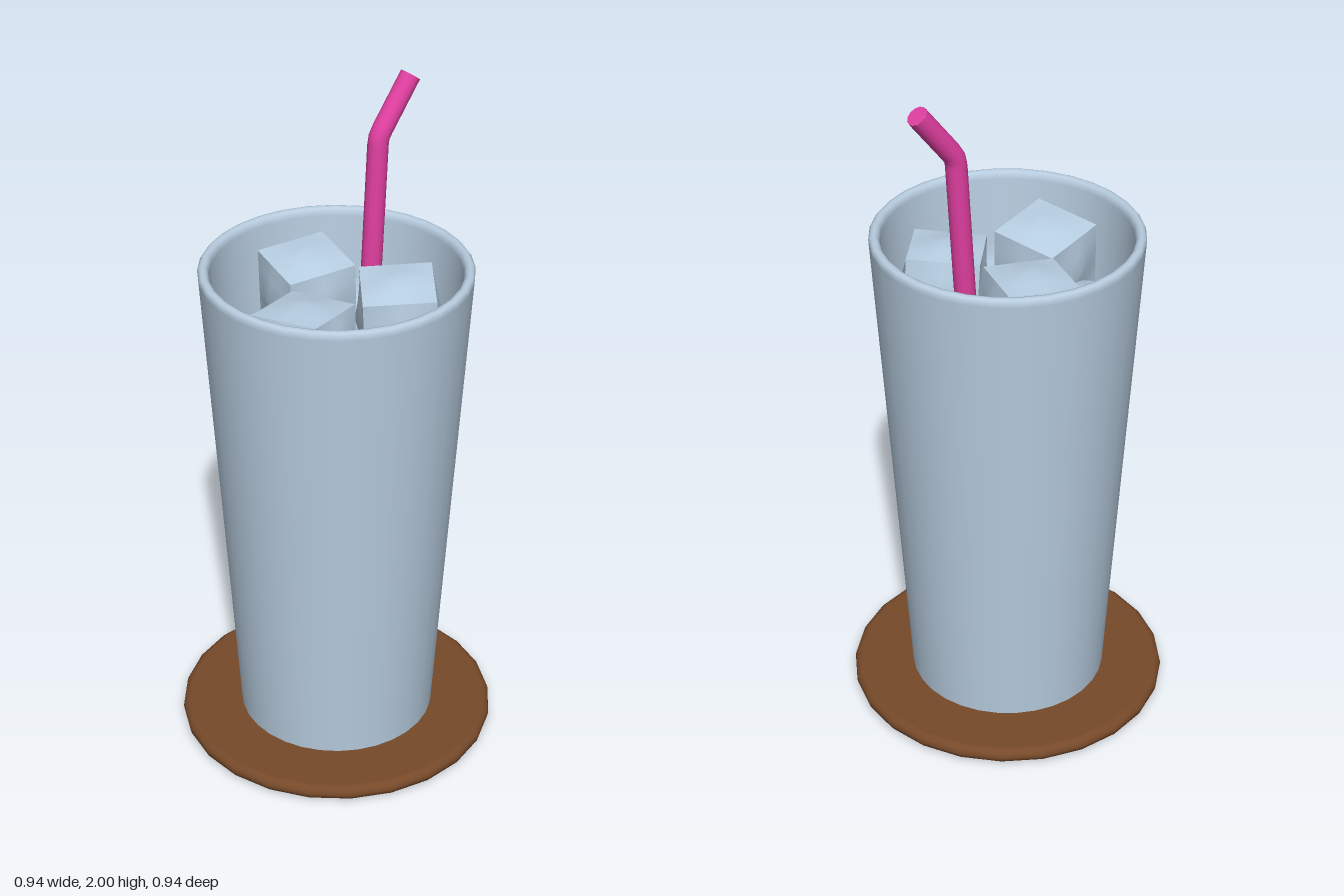
import * as THREE from 'three';

const mat = (name, color) => {
  const m = new THREE.MeshStandardMaterial({ color });
  m.name = name;
  return m;
};
const points = (list) => list.map(([x, y]) => new THREE.Vector2(x, y));

// Box whose faces swell towards the middle; each face keeps its own normals
function iceGeometry(size, bulge) {
  const geo = new THREE.BoxGeometry(size, size, size, 4, 4, 4);
  const pos = geo.attributes.position;
  const v = new THREE.Vector3();
  const h = size / 2;
  const fall = (a, b) => (1 - Math.abs(a / h)) * (1 - Math.abs(b / h));
  for (let i = 0; i < pos.count; i++) {
    v.fromBufferAttribute(pos, i);
    const { x, y, z } = v;
    if (Math.abs(x) > h - 1e-5) v.x += Math.sign(x) * bulge * fall(y, z);
    if (Math.abs(y) > h - 1e-5) v.y += Math.sign(y) * bulge * fall(x, z);
    if (Math.abs(z) > h - 1e-5) v.z += Math.sign(z) * bulge * fall(x, y);
    pos.setXYZ(i, v.x, v.y, v.z);
  }
  geo.computeVertexNormals();
  return geo;
}

export function createModel() {
  const group = new THREE.Group();
  const glassMat = mat('glass blue', 0xb8cde0);
  const iceMat = mat('ice blue', 0xb9d0e4);
  const coasterMat = mat('wood brown', 0x774a2a);
  const drinkMat = mat('cream drink', 0xe2d0b6);
  const strawMat = mat('straw pink', 0xe03fa0);

  const add = (name, geo, material) => {
    const mesh = new THREE.Mesh(geo, material);
    mesh.name = name;
    group.add(mesh);
    return mesh;
  };

  // Round coaster with a softened edge
  add('coaster', new THREE.LatheGeometry(points([
    [0, 0], [0.445, 0], [0.455, 0.001], [0.467, 0.01], [0.47, 0.022],
    [0.467, 0.035], [0.455, 0.044], [0.445, 0.045], [0, 0.045],
  ]), 24), coasterMat);

  // Tapered tumbler: outer wall, rounded rim, inner wall
  add('glass', new THREE.LatheGeometry(points([
    [0.29, 0.04], [0.338, 0.79], [0.384, 1.5], [0.385, 1.513], [0.379, 1.521],
    [0.37, 1.524], [0.361, 1.521], [0.355, 1.511], [0.354, 1.5],
    [0.335, 1.2], [0.262, 0.09], [0, 0.09],
  ]), 32), glassMat);

  // Drink filling the glass
  const drink = add('drink', new THREE.CylinderGeometry(0.336, 0.264, 1.11, 24), drinkMat);
  drink.position.y = 0.645;

  // Ice cubes: centre, then tilt about x, turn about y, tilt about z
  const cube = iceGeometry(0.205, 0.022);
  [
    [0.025, 1.365, -0.18, 0.07, -0.13, 0.06],
    [-0.16, 1.36, 0.075, -0.08, 0.42, -0.1],
    [0.15, 1.36, 0.09, 0.08, -0.57, 0.05],
    [-0.17, 1.22, -0.1, 0.15, -0.4, 0.12],
    [0.165, 1.22, -0.115, -0.14, 0.7, 0.1],
    [-0.03, 1.22, 0.17, 0.1, -0.14, -0.12],
  ].forEach(([x, y, z, rx, ry, rz], i) => {
    const ice = add(`iceCube${i + 1}`, cube, iceMat);
    ice.position.set(x, y, z);
    ice.rotation.set(rx, ry, rz, 'YXZ');
  });

  // Bent drinking straw
  const foot = new THREE.Vector3(0.085, 0.12, -0.045);
  const elbow = new THREE.Vector3(0.196, 1.83, -0.078);
  const tip = new THREE.Vector3(0.312, 1.982, -0.09);
  const bendIn = elbow.clone().lerp(foot, 0.01);
  const bendOut = elbow.clone().lerp(tip, 0.1);
  const path = new THREE.CurvePath();
  path.add(new THREE.LineCurve3(foot, bendIn));
  path.add(new THREE.QuadraticBezierCurve3(bendIn, elbow, bendOut));
  path.add(new THREE.LineCurve3(bendOut, tip));
  add('straw', new THREE.TubeGeometry(path, 80, 0.03, 12), strawMat);

  // Closed end of the straw
  const end = add('strawTip', new THREE.CircleGeometry(0.03, 12), strawMat);
  end.position.copy(tip);
  end.quaternion.setFromUnitVectors(new THREE.Vector3(0, 0, 1), tip.clone().sub(elbow).normalize());

  return group;
}
